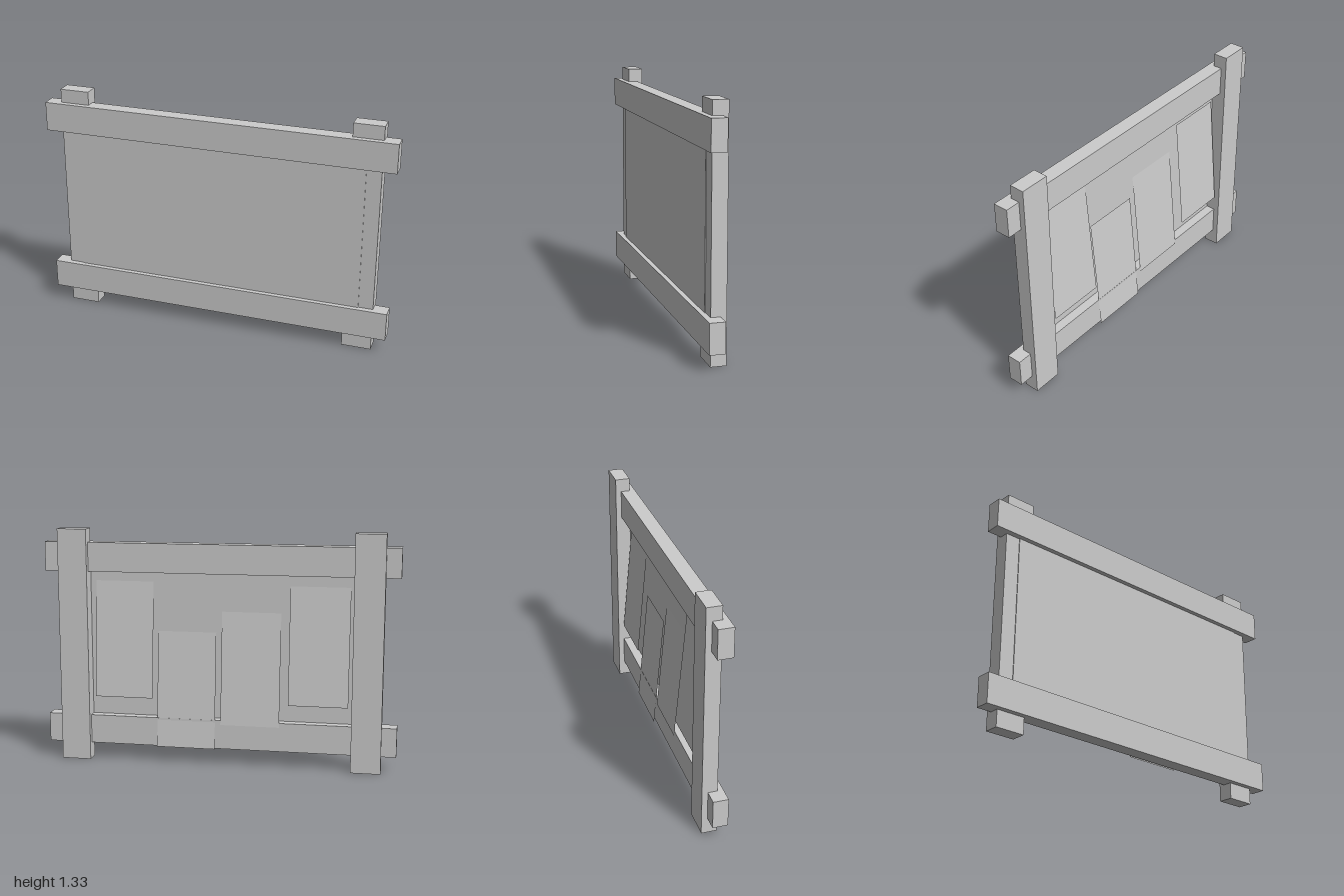
import * as THREE from 'three';

export function createModel() {
  const group = new THREE.Group();
  const wood = new THREE.MeshStandardMaterial({ color: 0xcccccc, flatShading: true });
  const paper = new THREE.MeshStandardMaterial({ color: 0xcccccc, side: THREE.DoubleSide });

  const add = (name, geometry, material, x, y, z) => {
    const mesh = new THREE.Mesh(geometry, material);
    mesh.name = name;
    mesh.position.set(x, y, z);
    group.add(mesh);
    return mesh;
  };

  // Two upright posts at the back
  const postGeometry = new THREE.BoxGeometry(0.167, 1.333, 0.084);
  for (const [name, side] of [['leftPost', 1], ['rightPost', -1]]) {
    add(name, postGeometry, wood, side * 0.833, 0.6665, -0.016);
  }

  // Two horizontal rails lapped over the front of the posts
  const railGeometry = new THREE.BoxGeometry(2, 0.165, 0.084);
  add('bottomRail', railGeometry, wood, 0, 0.175, 0.016);
  add('topRail', railGeometry, wood, 0, 1.174, 0.016);

  // Thin board held between the rails, just in front of the posts
  add('boardPanel', new THREE.BoxGeometry(1.667, 1, 0.004), wood, 0, 0.667, 0.029);

  // Paper sheets on the back, leaning with their tops towards the board:
  // centre x, bottom y, bottom z
  const sheets = [
    [0.55, 0.37, -0.033],
    [0.19, 0.09, -0.04],
    [-0.177, 0.232, -0.031],
    [-0.562, 0.364, -0.04],
  ];
  const height = 0.667, lean = 0.06;
  const sheetGeometry = new THREE.PlaneGeometry(0.335, height);
  sheetGeometry.rotateY(Math.PI);
  sheetGeometry.rotateX(Math.asin(lean / height));
  sheets.forEach(([x, y, z], i) => {
    add(`paperSheet${i + 1}`, sheetGeometry, paper, x, y + height / 2, z + lean / 2);
  });

  return group;
}
